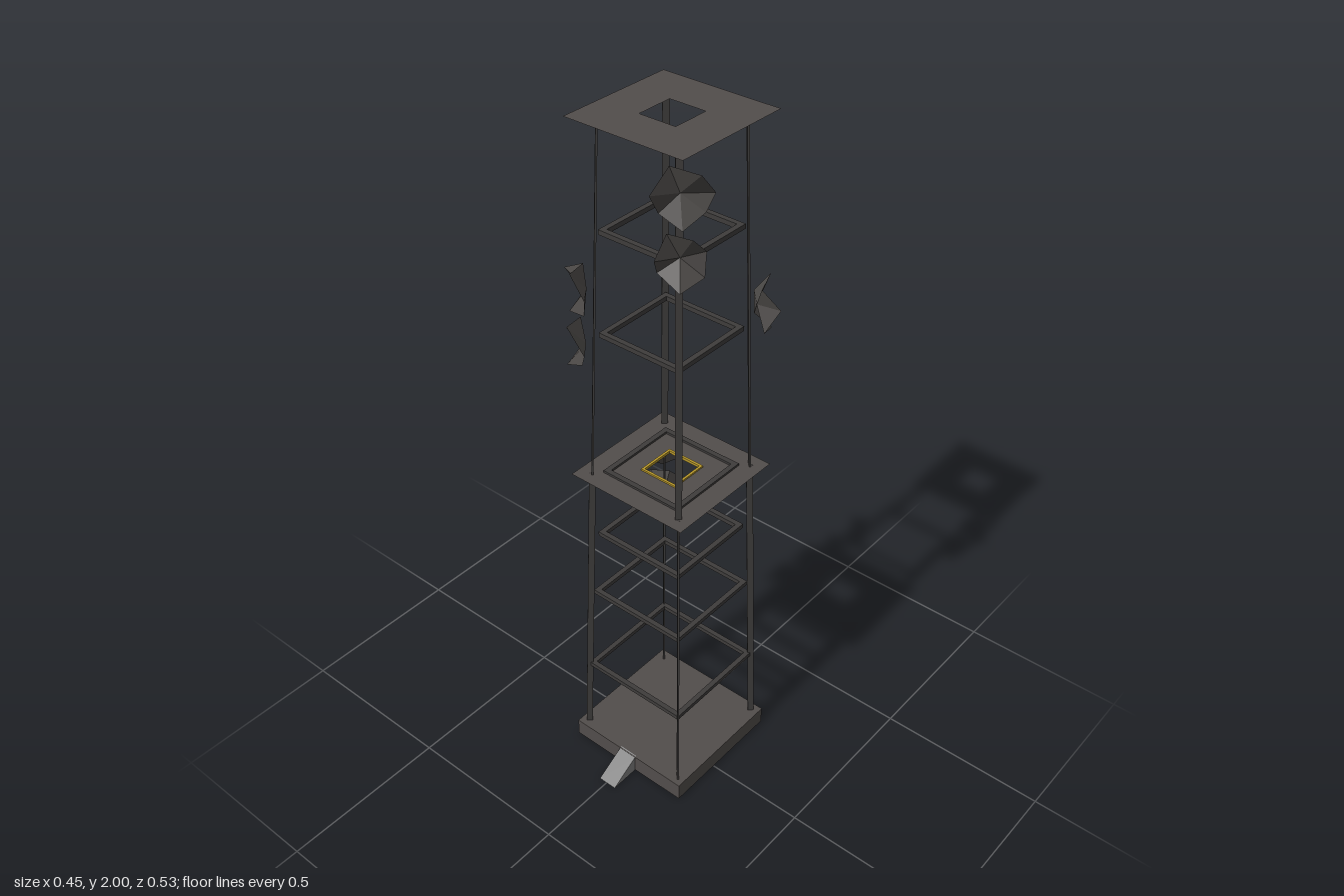
import * as THREE from 'three';

const mat = (name, color, extra = {}) => {
  const m = new THREE.MeshStandardMaterial({ color, ...extra });
  m.name = name;
  return m;
};

export function createModel() {
  const both = { side: THREE.DoubleSide };
  const plateMat = mat('warm dark grey', 0x524d4b, both);
  const beamMat = mat('dark steel', 0x3e3c3b);
  const dishMat = mat('dish grey', 0x4b4846, { side: THREE.DoubleSide, flatShading: true });
  const rampMat = mat('light grey', 0x7e7e7e);
  const trimMat = mat('yellow trim', 0xb8982a);

  const model = new THREE.Group();
  model.name = 'latticeTower';
  const tower = new THREE.Group();
  tower.name = 'tower';
  tower.position.set(0.0025, 0, -0.036);
  model.add(tower);

  const add = (name, geo, material, parent = tower) => {
    const m = new THREE.Mesh(geo, material);
    m.name = name;
    parent.add(m);
    return m;
  };

  // Square outline with a square hole, used for plates and frames
  const squareRing = (outer, inner) => {
    const pts = h => [[-h, -h], [h, -h], [h, h], [-h, h]].map(p => new THREE.Vector2(...p));
    const s = new THREE.Shape(pts(outer));
    s.holes.push(new THREE.Path(pts(inner).reverse()));
    return s;
  };
  const frame = (name, y, half, width, height, material) => {
    const g = new THREE.ExtrudeGeometry(squareRing(half, half - width), { depth: height, bevelEnabled: false });
    g.rotateX(-Math.PI / 2).translate(0, y - height / 2, 0);
    return add(name, g, material);
  };
  const plate = (name, y, half, hole) => {
    const g = new THREE.ShapeGeometry(squareRing(half, hole));
    g.rotateX(-Math.PI / 2).translate(0, y, 0);
    return add(name, g, plateMat);
  };

  // Base slab
  add('base', new THREE.BoxGeometry(0.396, 0.055, 0.396).translate(0, 0.0275, 0), plateMat);

  // Entry ramp: wedge profile in z/y, extruded across x
  const wedge = new THREE.Shape();
  wedge.moveTo(0.192, 0);
  wedge.lineTo(0.29, 0);
  wedge.lineTo(0.198, 0.054);
  wedge.lineTo(0.192, 0.056);
  wedge.closePath();
  const rampGeo = new THREE.ExtrudeGeometry(wedge, { depth: 0.058, bevelEnabled: false });
  rampGeo.rotateY(-Math.PI / 2).translate(0.0295, 0, 0);
  add('ramp', rampGeo, rampMat);

  // Flat-bar legs: lower bars lie radially, upper bars are turned a quarter
  const legHalf = y => 0.1755 - 0.028 * y;
  const leg = (name, sx, sz, y0, y1, radial) => {
    const at = y => new THREE.Vector3(sx * legHalf(y), y, sz * legHalf(y));
    const a = at(y0), b = at(y1);
    const dir = b.clone().sub(a).normalize();
    const tangent = new THREE.Vector3(sz, 0, -sx).normalize();
    const out = new THREE.Vector3().crossVectors(dir, tangent);
    const x = radial ? out : tangent;
    const z = new THREE.Vector3().crossVectors(x, dir);
    const m = add(name, new THREE.BoxGeometry(0.018, a.distanceTo(b), 0.005), beamMat);
    m.quaternion.setFromRotationMatrix(new THREE.Matrix4().makeBasis(x, dir, z));
    m.position.copy(a).lerp(b, 0.5);
  };
  for (const sx of [-1, 1]) for (const sz of [-1, 1]) {
    leg('lowerLeg', sx, sz, 0.05, 1.0, true);
    leg('upperLeg', sx, sz, 1.0, 1.995, false);
  }

  // Horizontal square braces
  const braces = [[0.295, 0.168], [0.578, 0.153], [0.79, 0.14], [1.0, 0.127],
    [1.427, 0.127], [1.71, 0.123], [1.989, 0.122]];
  for (const [y, half] of braces) frame('brace', y, half, 0.015, 0.013, beamMat);

  // Platforms with a central opening and a yellow trim on the middle one
  plate('middlePlatform', 1.0, 0.186, 0.053);
  plate('topPlatform', 2.0, 0.172, 0.0525);
  const trim = frame('openingTrim', 1.001, 0.058, 0.007, 0.008, trimMat);
  trim.position.set(0.001, 0, -0.002);

  // Crumpled low-poly dishes facing outward from the corners
  let seed = 7;
  const rand = () => (seed = (seed * 16807) % 2147483647) / 2147483647;
  const dish = (sx, sz, y, radius) => {
    const n = 7, pos = [0, 0, -0.012], idx = [];
    for (let i = 0; i < n; i++) {
      const a = (i + 0.4 * rand()) / n * Math.PI * 2;
      const r = radius * (0.85 + 0.25 * rand());
      pos.push(r * Math.cos(a), r * Math.sin(a), (i % 2 ? 0.025 : -0.012) + 0.015 * rand());
      idx.push(0, 1 + i, 1 + (i + 1) % n);
    }
    const g = new THREE.BufferGeometry();
    g.setAttribute('position', new THREE.Float32BufferAttribute(pos, 3));
    g.setIndex(idx);
    const flat = g.toNonIndexed();
    flat.computeVertexNormals();
    const m = add('dish', flat, dishMat);
    const d = legHalf(y) + 0.022;
    m.position.set(sx * d, y, sz * d);
    m.rotation.y = Math.atan2(sx, sz);
  };
  dish(1, 1, 1.9, 0.072);
  dish(1, 1, 1.745, 0.07);
  dish(-1, 1, 1.56, 0.07);
  dish(-1, 1, 1.405, 0.068);
  dish(1, -1, 1.495, 0.07);
  dish(-1, -1, 0.885, 0.07);
  dish(-1, -1, 0.73, 0.07);

  return model;
}
